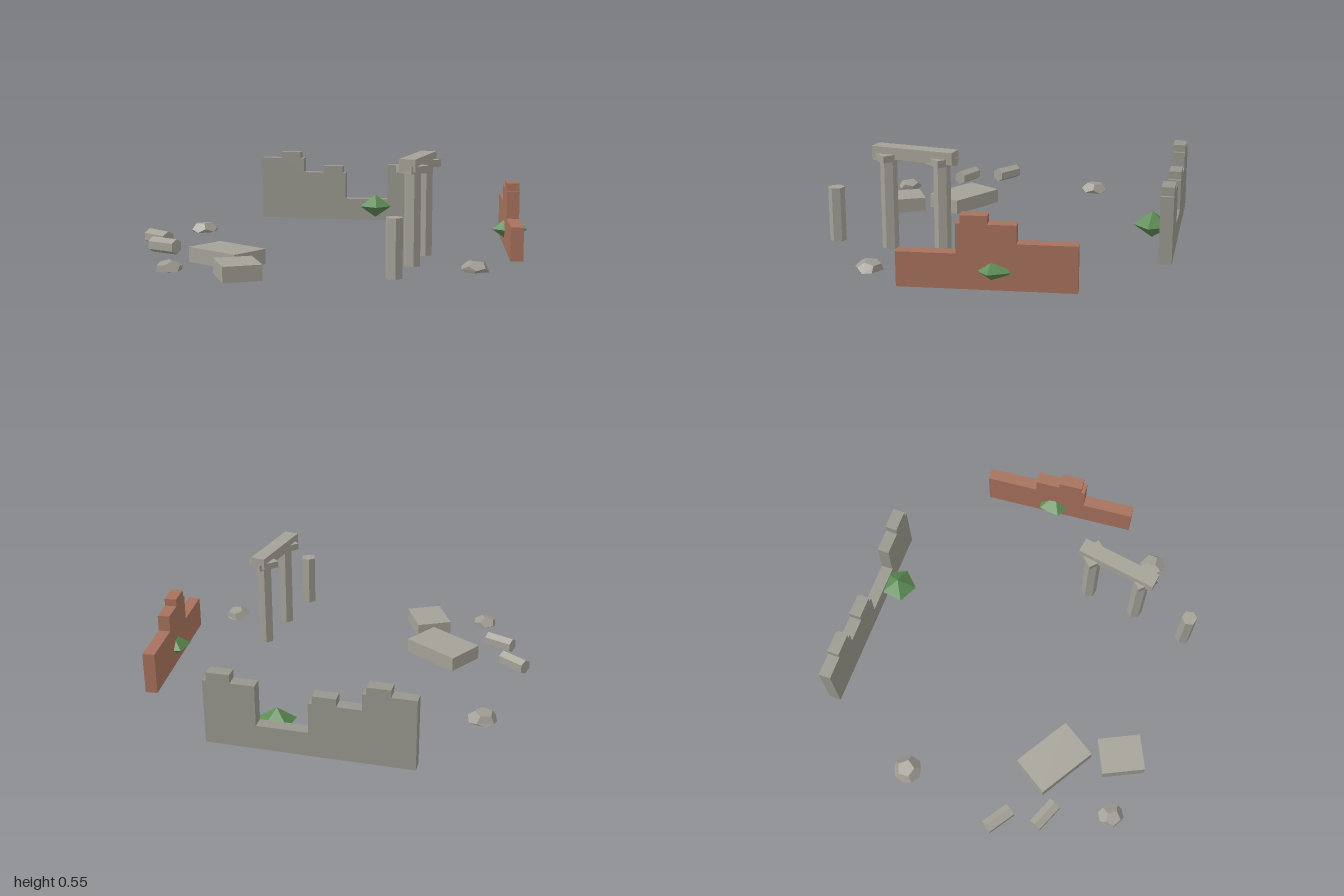
import * as THREE from 'three';

const mat = (name, color, flat = false) => {
  const m = new THREE.MeshStandardMaterial({ color, flatShading: flat });
  m.name = name;
  return m;
};

export function createModel() {
  const root = new THREE.Group();
  root.name = 'ruins';
  const wallStone = mat('wallStone', 0x96968c);
  const paleStone = mat('paleStone', 0xa4a197, true);
  const brick = mat('brick', 0xa6715c);
  const leaf = mat('leaf', 0x5c8a54, true);
  const rockGrey = mat('rockGrey', 0x9f9b93, true);
  const GROUND = 0.045;

  const add = (name, geo, material, x, y, z, rotY = 0) => {
    const m = new THREE.Mesh(geo, material);
    m.name = name;
    m.position.set(x, y, z);
    m.rotation.y = rotY;
    root.add(m);
    return m;
  };

  // Broken walls: equal sections of [top height, merlon top height or 0] between two end points
  const wall = (name, material, [x0, z0], [x1, z1], sections) => {
    const length = Math.hypot(x1 - x0, z1 - z0), s = length / sections.length, t = 0.061;
    const shape = new THREE.Shape();
    shape.moveTo(0, GROUND);
    sections.forEach(([top, merlon], i) => {
      const a = i * s, mid = a + s * 0.7, half = s * 0.225;
      shape.lineTo(a, top);
      if (merlon) {
        shape.lineTo(mid - half, top);
        shape.lineTo(mid - half, merlon);
        shape.lineTo(mid + half, merlon);
        shape.lineTo(mid + half, top);
      }
      shape.lineTo(a + s, top);
    });
    shape.lineTo(length, GROUND);
    const geo = new THREE.ExtrudeGeometry(shape, { depth: t, bevelEnabled: false });
    geo.translate(0, 0, -t / 2);
    add(name, geo, material, x0, 0, z0, Math.atan2(z0 - z1, x1 - x0));
  };
  wall('stoneWall', wallStone, [-0.948, -0.245], [-0.237, -0.926],
    [[0.396, 0.432], [0.315, 0.354], [0.165, 0], [0.367, 0.408]]);
  wall('brickWall', brick, [0.304, -0.979], [0.905, -0.459],
    [[0.258, 0], [0.341, 0.379], [0.206, 0]]);

  // Gateway: two hexagonal columns with square capitals under a lintel
  const column = (name, x, z, top) =>
    add(name, new THREE.CylinderGeometry(0.04, 0.04, top - GROUND, 6), paleStone, x, (top + GROUND) / 2, z);
  [[0.524, -0.212], [0.688, 0.004]].forEach(([x, z]) => {
    column('column', x, z, 0.49);
    add('capital', new THREE.BoxGeometry(0.11, 0.034, 0.11), paleStone, x, 0.495, z);
  });
  add('lintel', new THREE.BoxGeometry(0.41, 0.058, 0.076), paleStone, 0.604, 0.517, -0.101, -0.96);

  // Lone broken column
  column('brokenColumn', 0.85, 0.246, 0.315);

  // Fallen paving slabs
  add('slab', new THREE.BoxGeometry(0.32, 0.075, 0.211), paleStone, -0.063, 0.0375, 0.546, 0.217);
  add('slab', new THREE.BoxGeometry(0.22, 0.075, 0.185), paleStone, 0.252, 0.0375, 0.681, -0.345);

  // Fallen column pieces, lying with an edge upwards
  [[-0.459, 0.708, 0.177], [-0.24, 0.793, 0.368]].forEach(([x, z, rot]) => {
    const geo = new THREE.CylinderGeometry(0.038, 0.038, 0.15, 6);
    geo.rotateY(Math.PI / 2).rotateZ(Math.PI / 2);
    add('fallenColumn', geo, paleStone, x, 0.087, z, rot);
  });

  // Bushes: five-sided double pyramids
  [[-0.398, 0.138, -0.648], [0.578, 0.131, -0.735]].forEach(([x, y, z]) => {
    const geo = new THREE.SphereGeometry(0.093, 5, 2);
    geo.scale(1, 0.7, 1);
    add('bush', geo, leaf, x, y, z);
  });

  // Rocks: squashed, tilted solids with a flat base
  [[-0.761, 0.268, 0.074, 0.5], [0.064, 0.932, 0.066, 1.6], [0.904, -0.192, 0.068, 2.7]].forEach(([x, z, r, turn]) => {
    const geo = new THREE.DodecahedronGeometry(r, 0);
    geo.rotateX(0.5).rotateZ(turn * 0.3).rotateY(turn).scale(1, 0.66, 1);
    const p = geo.attributes.position;
    for (let i = 0; i < p.count; i++) p.setY(i, Math.max(p.getY(i), -0.008));
    geo.computeVertexNormals();
    add('rock', geo, rockGrey, x, 0.039, z);
  });

  return root;
}
